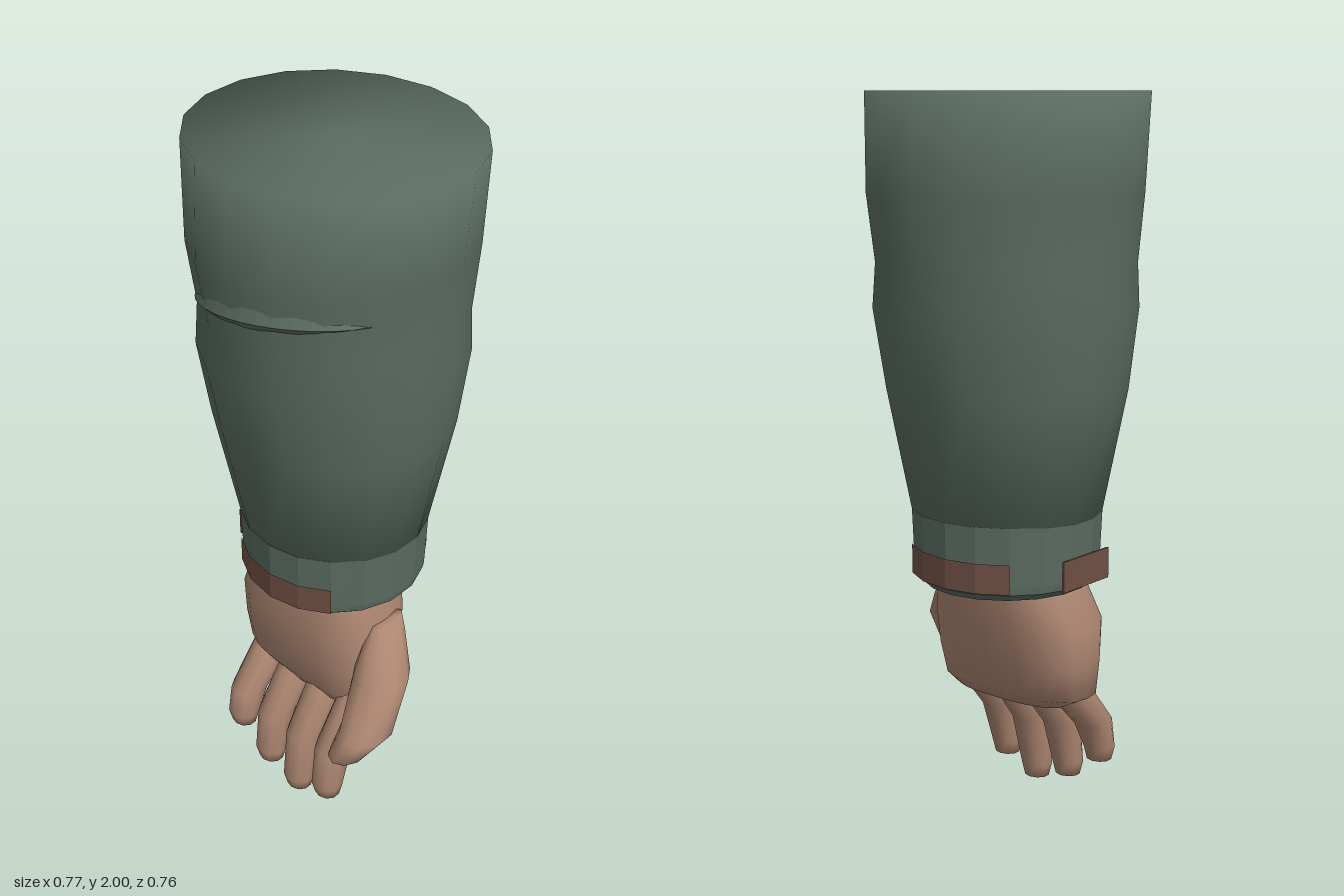
import * as THREE from 'three';

const mat = (name, color, side = THREE.FrontSide) => {
  const m = new THREE.MeshStandardMaterial({ color, side });
  m.name = name;
  return m;
};

// Closed skin through horizontal sections, bottom to top: [y, cx, rx, cz, rz].
// power < 1 squares off the ellipse.
function loft(sections, sides, power = 1) {
  const pos = [], idx = [];
  const bend = v => Math.sign(v) * Math.abs(v) ** power;
  for (const [y, cx, rx, cz, rz] of sections) {
    for (let i = 0; i < sides; i++) {
      const a = (i / sides) * Math.PI * 2;
      pos.push(cx + rx * bend(Math.sin(a)), y, cz + rz * bend(Math.cos(a)));
    }
  }
  const last = sections.length - 1;
  for (const s of [sections[0], sections[last]]) pos.push(s[1], s[0], s[3]);
  const bottom = sections.length * sides;
  for (let i = 0; i < sides; i++) {
    const n = (i + 1) % sides;
    for (let j = 0; j < last; j++) {
      const a = j * sides + i, b = j * sides + n;
      idx.push(a, b, b + sides, a, b + sides, a + sides);
    }
    idx.push(n, i, bottom, last * sides + i, last * sides + n, bottom + 1);
  }
  const g = new THREE.BufferGeometry();
  g.setAttribute('position', new THREE.Float32BufferAttribute(pos, 3));
  g.setIndex(idx);
  g.computeVertexNormals();
  return g;
}

function flat(g) {
  const f = g.toNonIndexed();
  f.computeVertexNormals();
  return f;
}

// Crescent fold: an overhanging lip across the front of the sleeve
function foldGeometry() {
  const pos = [], idx = [], steps = 14;
  for (let i = 0; i <= steps; i++) {
    const t = i / steps, s = Math.sin(Math.PI * t);
    const a = THREE.MathUtils.lerp(-45, 57, t) * Math.PI / 180;
    const y = 1.57 + 0.1 * t + 0.037 * s;
    const point = (out, dy) => {
      const h = y + dy, k = (h - 1.56) / 0.18;
      pos.push((0.352 + 0.013 * k + out) * Math.sin(a), h, (0.352 + 0.03 * k + out) * Math.cos(a));
    };
    point(-0.004, 0.035 * s);
    point(0.001 + 0.014 * s, 0);
    point(-0.008, -0.034 * s);
  }
  for (let i = 0; i < steps; i++) {
    for (let j = 0; j < 2; j++) {
      const a = i * 3 + j, b = a + 3;
      idx.push(a + 1, b + 1, b, a + 1, b, a);
    }
  }
  const g = new THREE.BufferGeometry();
  g.setAttribute('position', new THREE.Float32BufferAttribute(pos, 3));
  g.setIndex(idx);
  return flat(g);
}

export function createModel() {
  const group = new THREE.Group();
  const green = mat('sleeveGreen', 0x5a6b61);
  const greenThin = mat('sleeveGreen', 0x5a6b61, THREE.DoubleSide);
  const skin = mat('skin', 0xab8570);
  const brown = mat('cuffBrown', 0x6f4f43, THREE.DoubleSide);
  const add = (name, geometry, material, parent = group) => {
    const m = new THREE.Mesh(geometry, material);
    m.name = name;
    parent.add(m);
    return m;
  };

  // Sleeve and fold
  add('sleeve', loft([
    [0.87, 0, 0.266, 0.005, 0.255],
    [1.22, 0, 0.335, 0.005, 0.322],
    [1.44, 0, 0.355, 0.003, 0.365],
    [1.56, 0, 0.353, 0.003, 0.350],
    [1.74, 0, 0.363, 0.003, 0.381],
    [2.0, 0, 0.39, 0.003, 0.357],
  ], 18), green);
  add('sleeveFold', foldGeometry(), greenThin);

  // Faceted cuff with its turned-in lower lip
  add('cuff', flat(loft([
    [0.68, 0, 0.232, 0.005, 0.232],
    [0.70, 0, 0.256, 0.005, 0.252],
    [0.72, 0, 0.26, 0.005, 0.254],
    [0.885, 0, 0.268, 0.005, 0.259],
  ], 18)), green);

  // Brown patches on the cuff, front and back
  [['cuffPatchFront', -40], ['cuffPatchBack', 140]].forEach(([name, start]) => {
    const rad = Math.PI / 180;
    const g = flat(new THREE.CylinderGeometry(1, 1, 0.082, 4, 1, true, start * rad, 80 * rad));
    g.scale(0.268, 1, 0.26);
    g.translate(0, 0.745, 0.005);
    add(name, g, brown);
  });

  // Loose tab on the side of the cuff
  const tab = add('cuffTab', new THREE.BoxGeometry(0.006, 0.085, 0.2), brown);
  tab.position.set(-0.262, 0.743, 0.02);

  // Hand
  const hand = new THREE.Group();
  hand.name = 'hand';
  group.add(hand);
  add('palm', loft([
    [0.315, 0.03, 0.19, 0.08, 0.075],
    [0.36, 0, 0.242, 0.065, 0.115],
    [0.46, -0.005, 0.247, 0.055, 0.145],
    [0.57, -0.01, 0.248, 0.045, 0.16],
    [0.66, 0, 0.212, 0.03, 0.165],
    [0.72, 0, 0.2, 0.02, 0.16],
  ], 20, 0.75), skin, hand);

  // Fingers: [x, tip height]
  [[-0.158, 0.11], [-0.045, 0.035], [0.07, 0], [0.184, 0.045]].forEach(([x, tip], i) => {
    const mid = 0.2 + tip * 0.3;
    add('finger' + (i + 1), loft([
      [tip, x, 0.038, 0.235, 0.035],
      [tip + 0.04, x, 0.048, 0.235, 0.045],
      [mid, x, 0.051, 0.205, 0.062],
      [0.33, x, 0.053, 0.115, 0.072],
      [0.39, x, 0.045, 0.08, 0.06],
    ], 10), skin, hand);
  });

  // Thumb
  add('thumb', loft([
    [0.315, 0.298, 0.052, 0.265, 0.07],
    [0.37, 0.313, 0.072, 0.21, 0.087],
    [0.5, 0.285, 0.08, 0.12, 0.083],
    [0.58, 0.243, 0.045, 0.06, 0.068],
    [0.61, 0.23, 0.022, 0.035, 0.058],
  ], 10), skin, hand);

  return group;
}
